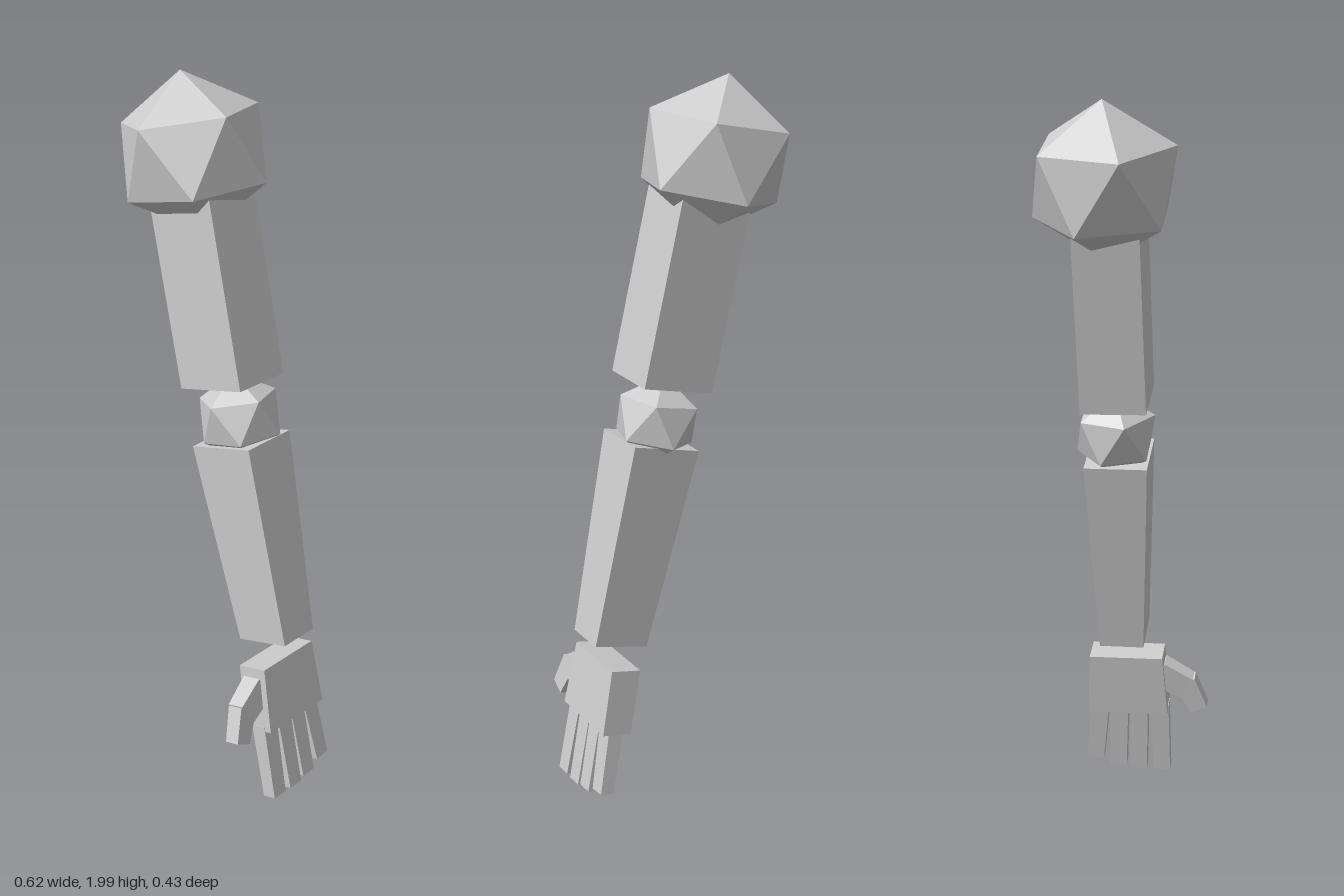
import * as THREE from 'three';

const V = (p) => new THREE.Vector3(...p);

export function createModel() {
  const arm = new THREE.Group();
  arm.name = 'arm';
  const grey = new THREE.MeshStandardMaterial({ color: 0xcccccc });
  grey.name = 'plain grey';

  // Tapered block between two end centres; sizes are [width, depth] at each end.
  // All blocks share the same slight turn about the vertical.
  function block(name, top, bottom, topSize, bottomSize, parent = arm) {
    const a = V(top), b = V(bottom);
    const y = a.clone().sub(b);
    const length = y.length();
    y.normalize();
    const x = new THREE.Vector3().crossVectors(y, V([0.06, 0, 1])).normalize();
    const z = new THREE.Vector3().crossVectors(x, y);
    const geo = new THREE.BoxGeometry(1, length, 1);
    const pos = geo.attributes.position;
    for (let i = 0; i < pos.count; i++) {
      const [w, d] = pos.getY(i) > 0 ? topSize : bottomSize;
      pos.setX(i, pos.getX(i) * w);
      pos.setZ(i, pos.getZ(i) * d);
    }
    geo.applyMatrix4(new THREE.Matrix4().makeBasis(x, y, z).setPosition(a.add(b).multiplyScalar(0.5)));
    geo.computeVertexNormals();
    const mesh = new THREE.Mesh(geo, grey);
    mesh.name = name;
    parent.add(mesh);
  }

  // Twenty-sided joint, turned so two neighbouring corners point along pole and next
  function joint(name, centre, radius) {
    const pole = V([-0.045, 0.21, 0.002]).normalize();
    const next = V([0.165, 0.13, 0.047]).normalize();
    const x = next.clone().sub(pole).normalize();
    const y = next.clone().add(pole).normalize();
    const z = new THREE.Vector3().crossVectors(x, y);
    const geo = new THREE.IcosahedronGeometry(radius, 0);
    geo.applyMatrix4(new THREE.Matrix4().makeBasis(x, y, z).setPosition(V(centre)));
    const mesh = new THREE.Mesh(geo, grey);
    mesh.name = name;
    arm.add(mesh);
  }

  joint('shoulder', [-0.118, 1.785, -0.022], 0.216);
  block('upperArm', [-0.096, 1.75, -0.015], [0.032, 1.183, -0.015], [0.212, 0.18], [0.212, 0.18]);
  joint('elbow', [0.053, 1.084, -0.023], 0.123);
  block('forearm', [0.065, 1.023, -0.016], [0.198, 0.458, -0.024], [0.202, 0.175], [0.164, 0.126]);

  // Hand: palm, four fingers and a two-part thumb
  const hand = new THREE.Group();
  hand.name = 'hand';
  arm.add(hand);
  block('palm', [0.203, 0.4, -0.017], [0.24, 0.216, -0.018], [0.09, 0.212], [0.088, 0.235], hand);

  // Finger: [z at the knuckle, z at the tip, tip height, tip x]
  [
    [0.073, 0.075, 0.012, 0.289],
    [0.012, 0.005, 0.012, 0.286],
    [-0.046, -0.056, 0.02, 0.281],
    [-0.103, -0.124, 0.042, 0.273],
  ].forEach(([z0, z1, y1, x1], i) => {
    block('finger' + (i + 1), [0.24 + 0.06 * z0, 0.23, z0], [x1, y1, z1], [0.045, 0.055], [0.04, 0.049], hand);
  });

  block('thumbBase', [0.219, 0.34, 0.075], [0.233, 0.294, 0.157], [0.056, 0.08], [0.05, 0.072], hand);
  block('thumbTip', [0.232, 0.312, 0.15], [0.252, 0.222, 0.19], [0.046, 0.065], [0.043, 0.052], hand);

  return arm;
}
